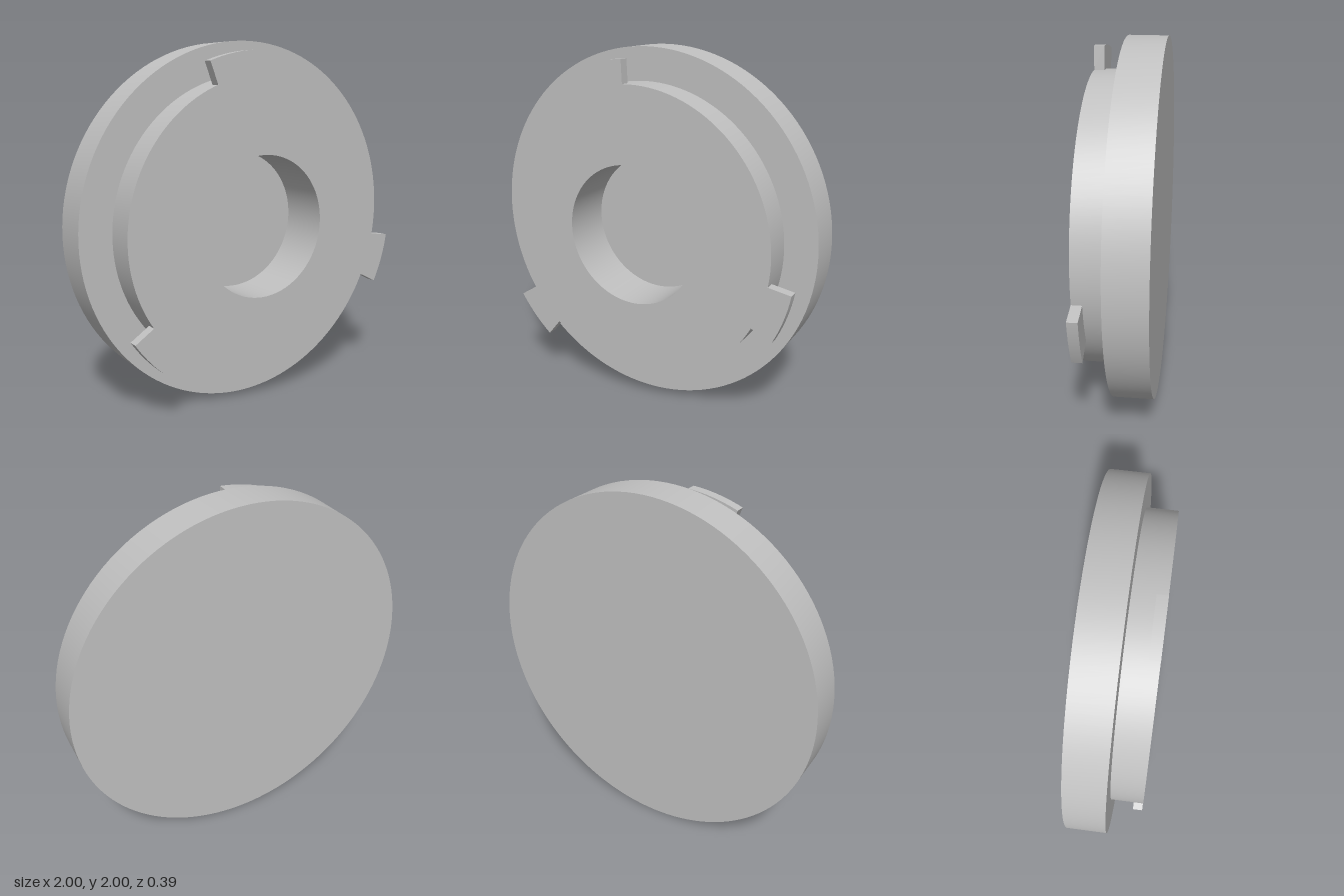
import * as THREE from 'three';
import { toCreasedNormals } from 'three/addons/utils/BufferGeometryUtils.js';

const FRONT = 0.195, BACK = -0.195, STEP = 0.02, TAB_BACK = 0.14, FLOOR = -0.1;
const DISC_R = 1, BOSS_R = 0.82, HOLE_R = 0.395, TAB_R = 0.947;

export function createModel() {
  const group = new THREE.Group();
  group.name = 'bayonetCap';
  const grey = new THREE.MeshStandardMaterial({ color: 0xc0c0c0 });
  grey.name = 'plain grey';

  // Turned body: wide disc, raised boss and blind centre hole
  const profile = [
    [0, BACK], [DISC_R, BACK], [DISC_R, STEP], [BOSS_R, STEP],
    [BOSS_R, FRONT], [HOLE_R, FRONT], [HOLE_R, FLOOR], [0, FLOOR],
  ].map(([r, z]) => new THREE.Vector2(r, z));
  const bodyGeometry = new THREE.LatheGeometry(profile, 128);
  bodyGeometry.rotateX(Math.PI / 2);
  const body = new THREE.Mesh(toCreasedNormals(bodyGeometry, Math.PI / 6), grey);
  body.name = 'body';
  body.position.y = 1;
  group.add(body);

  // Three locking tabs around the front edge of the boss
  const start = THREE.MathUtils.degToRad(93), end = THREE.MathUtils.degToRad(111);
  const sector = new THREE.Shape();
  sector.absarc(0, 0, TAB_R, start, end, false);
  sector.absarc(0, 0, BOSS_R - 0.002, end, start, true);
  sector.closePath();
  const tabGeometry = toCreasedNormals(new THREE.ExtrudeGeometry(sector, {
    depth: FRONT - TAB_BACK, bevelEnabled: false, curveSegments: 10,
  }), Math.PI / 6);
  for (let i = 0; i < 3; i++) {
    const tab = new THREE.Mesh(tabGeometry, grey);
    tab.name = `lockingTab${i + 1}`;
    tab.position.set(0, 1, TAB_BACK);
    tab.rotation.z = (i * Math.PI * 2) / 3;
    group.add(tab);
  }
  return group;
}
